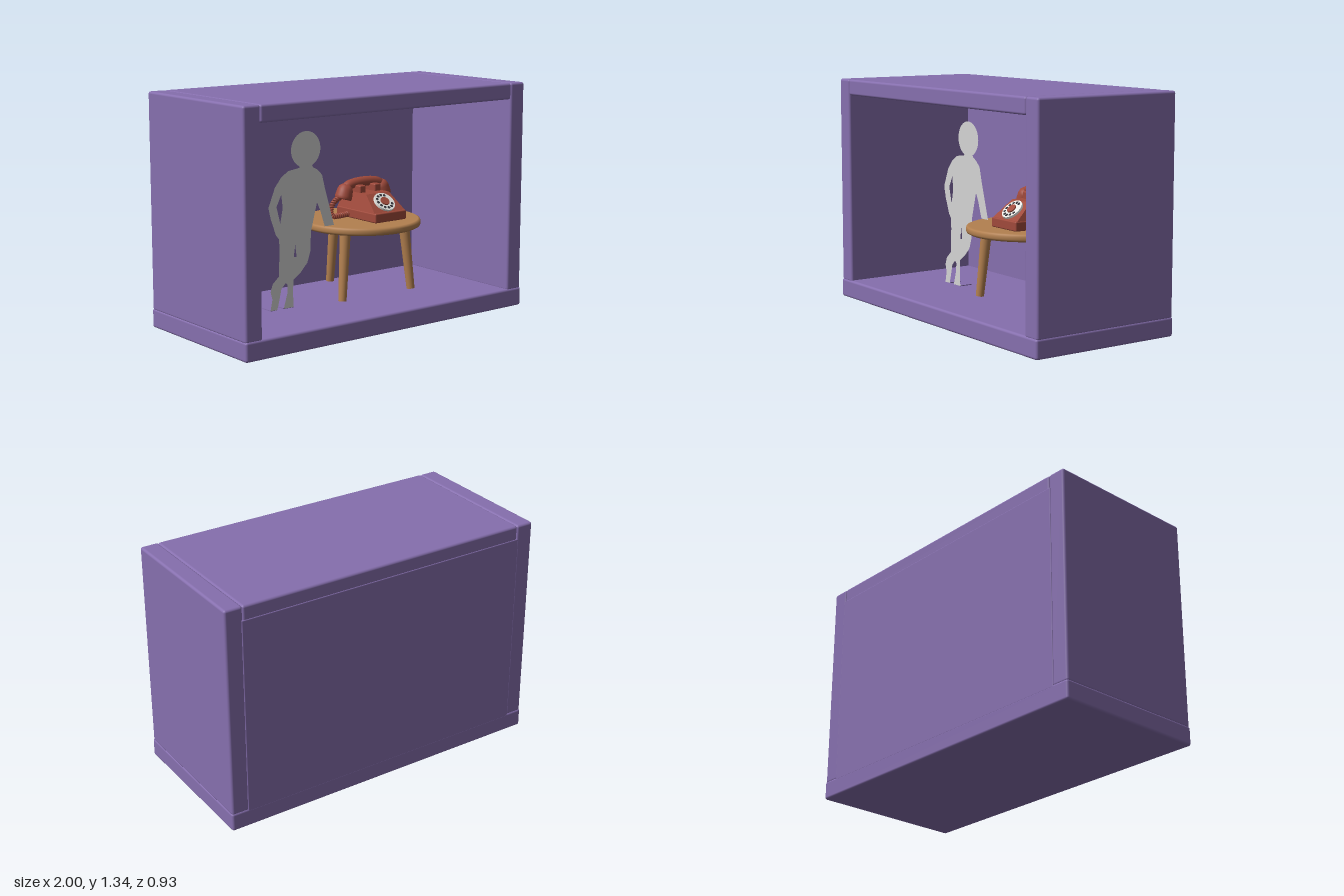
import * as THREE from 'three';
import { RoundedBoxGeometry } from 'three/addons/geometries/RoundedBoxGeometry.js';

const mat = (name, color, side = THREE.FrontSide) => {
  const m = new THREE.MeshStandardMaterial({ color, side });
  m.name = name;
  return m;
};

export function createModel() {
  const purple = mat('purple', 0x866fae);
  const grey = mat('paleGrey', 0xd4d4d4, THREE.DoubleSide);
  const wood = mat('wood', 0xb3804f);
  const red = mat('brickRed', 0xa04a3b);
  const white = mat('dialWhite', 0xe6e6e2);
  const dark = mat('dark', 0x35343a);

  const model = new THREE.Group();
  model.name = 'phoneDiorama';
  const add = (parent, name, geo, material, x = 0, y = 0, z = 0) => {
    const m = new THREE.Mesh(geo, material);
    m.name = name;
    m.position.set(x, y, z);
    parent.add(m);
    return m;
  };
  const group = (name) => {
    const g = new THREE.Group();
    g.name = name;
    model.add(g);
    return g;
  };
  // Rounded box given by its limits
  const block = (parent, name, material, [x0, x1], [y0, y1], [z0, z1], r = 0.014) =>
    add(parent, name, new RoundedBoxGeometry(x1 - x0, y1 - y0, z1 - z0, 3, r), material,
      (x0 + x1) / 2, (y0 + y1) / 2, (z0 + z1) / 2);

  // Open-fronted box of rounded boards
  const box = group('displayBox');
  block(box, 'floor', purple, [-1, 1], [0, 0.11], [-0.465, 0.465]);
  block(box, 'rightWall', purple, [-0.998, -0.89], [0.1, 1.34], [-0.462, 0.46]);
  block(box, 'leftWall', purple, [0.89, 0.998], [0.1, 1.34], [-0.462, 0.46]);
  block(box, 'roof', purple, [-0.892, 0.892], [1.245, 1.34], [-0.462, 0.46]);
  block(box, 'backWall', purple, [-0.9, 0.9], [0.095, 1.26], [-0.465, -0.405], 0.006);

  // Flat cut-out figure leaning on the table
  const figure = group('cutoutFigure');
  const vec = (pts) => pts.map(([x, y]) => new THREE.Vector2(x, y));
  const body = new THREE.Shape(vec([
    [-0.31, 0.92], [-0.315, 0.905], [-0.39, 0.895], [-0.44, 0.865], [-0.485, 0.81],
    [-0.53, 0.7], [-0.515, 0.635], [-0.48, 0.54], [-0.46, 0.515], [-0.455, 0.45],
    [-0.46, 0.37], [-0.46, 0.305], [-0.505, 0.265], [-0.52, 0.22], [-0.508, 0.175],
    [-0.522, 0.112], [-0.475, 0.112], [-0.46, 0.165], [-0.445, 0.23], [-0.415, 0.258],
    [-0.402, 0.245], [-0.405, 0.195], [-0.43, 0.112], [-0.36, 0.112], [-0.365, 0.2],
    [-0.36, 0.27], [-0.31, 0.305], [-0.262, 0.355], [-0.24, 0.42], [-0.236, 0.53],
    [-0.215, 0.61], [-0.192, 0.695], [-0.17, 0.65], [-0.137, 0.55], [-0.07, 0.55],
    [-0.108, 0.68], [-0.135, 0.77], [-0.155, 0.85], [-0.19, 0.885], [-0.22, 0.9],
    [-0.23, 0.92],
  ]));
  body.holes.push(
    new THREE.Path(vec([[-0.442, 0.765], [-0.475, 0.7], [-0.45, 0.605], [-0.432, 0.69]])),
    new THREE.Path(vec([[-0.347, 0.47], [-0.358, 0.4], [-0.338, 0.4]])));
  add(figure, 'body', new THREE.ShapeGeometry(body), grey, 0, 0, 0.015);
  add(figure, 'head', new THREE.CircleGeometry(0.103, 40), grey, -0.27, 1.006, 0.0155);
  // Small mounting tabs behind the feet
  add(figure, 'tab', new THREE.BoxGeometry(0.07, 0.006, 0.08), purple, -0.395, 0.112, -0.026);
  add(figure, 'tab', new THREE.BoxGeometry(0.045, 0.006, 0.08), purple, -0.498, 0.112, -0.026);

  // Round three-legged table
  const table = group('table');
  table.position.set(0.2, 0, -0.07);
  const topProfile = vec([[0, 0.505], [0.335, 0.505], [0.346, 0.511], [0.35, 0.52],
    [0.35, 0.535], [0.346, 0.545], [0.335, 0.55], [0, 0.55]]);
  add(table, 'tableTop', new THREE.LatheGeometry(topProfile, 64), wood);
  for (const a of [Math.PI / 3, -Math.PI / 3, Math.PI]) {
    const foot = new THREE.Vector3(Math.sin(a) * 0.3, 0.112, Math.cos(a) * 0.3);
    const hip = new THREE.Vector3(Math.sin(a) * 0.255, 0.51, Math.cos(a) * 0.255);
    const dir = hip.clone().sub(foot);
    const leg = add(table, 'tableLeg',
      new THREE.CylinderGeometry(0.032, 0.024, dir.length(), 24), wood);
    leg.position.copy(foot).add(hip).multiplyScalar(0.5);
    leg.quaternion.setFromUnitVectors(new THREE.Vector3(0, 1, 0), dir.normalize());
  }

  // Telephone
  const phone = group('telephone');
  phone.position.x = 0.255;
  block(phone, 'phoneBase', red, [-0.117, 0.117], [0.55, 0.606], [-0.225, 0.138], 0.008);
  // Sloped housing: side profile extruded across, then narrowed towards the top
  const side = new THREE.Shape(vec([[-0.22, 0.6], [0.132, 0.6], [0.015, 0.7], [-0.19, 0.7]]));
  const housing = new THREE.ExtrudeGeometry(side, { depth: 0.23, bevelEnabled: false });
  housing.translate(0, 0, -0.115).rotateY(-Math.PI / 2);
  const p = housing.attributes.position;
  for (let i = 0; i < p.count; i++) p.setX(i, p.getX(i) * (1 - (p.getY(i) - 0.6) * 2.5));
  housing.computeVertexNormals();
  add(phone, 'phoneHousing', housing, red);
  for (const s of [-1, 1])
    block(phone, 'cradle', red, [s * 0.056 - 0.023, s * 0.056 + 0.023], [0.69, 0.742], [-0.17, -0.05], 0.008);

  // Rotary dial, lying on the slope
  const dial = new THREE.Group();
  dial.name = 'dial';
  dial.position.set(0, 0.652, 0.073);
  dial.rotation.x = 0.706;
  phone.add(dial);
  add(dial, 'dialPlate', new THREE.CylinderGeometry(0.066, 0.067, 0.012, 40), white, 0, 0.005, 0);
  add(dial, 'dialCentre', new THREE.CylinderGeometry(0.028, 0.029, 0.008, 32), red, 0, 0.014, 0);
  for (let i = 0; i < 10; i++) {
    const a = (i / 12) * Math.PI * 2 + 0.5;
    add(dial, 'fingerHole', new THREE.CylinderGeometry(0.009, 0.009, 0.003, 14), dark,
      Math.cos(a) * 0.048, 0.011, Math.sin(a) * 0.048);
  }

  // Handset: arched grip with a cup at each end
  const hz = -0.12;
  const V = (x, y, z = hz) => new THREE.Vector3(x, y, z);
  const arc = new THREE.CatmullRomCurve3([V(-0.15, 0.705), V(-0.115, 0.737), V(-0.06, 0.75),
    V(0.06, 0.75), V(0.115, 0.737), V(0.15, 0.705)]);
  const grip = new THREE.TubeGeometry(arc, 40, 0.029, 18);
  add(phone, 'handsetGrip', grip, red);
  const cup = vec([[0, 0.05], [0.025, 0.048], [0.04, 0.035], [0.047, 0.015], [0.051, -0.02],
    [0.051, -0.035], [0.046, -0.04], [0, -0.04]].reverse());
  for (const s of [-1, 1]) {
    const c = add(phone, 'handsetCup', new THREE.LatheGeometry(cup, 32), red, s * 0.14, 0.7, hz);
    c.rotation.z = s * 0.3;
  }

  // Coiled cord from the handset down to the base
  const path = new THREE.CatmullRomCurve3([V(-0.175, 0.675), V(-0.215, 0.655), V(-0.243, 0.61),
    V(-0.235, 0.573), V(-0.19, 0.566), V(-0.11, 0.57)]);
  const n = 240;
  const turns = 18;
  const frames = path.computeFrenetFrames(n);
  const coil = [];
  for (let i = 0; i <= n; i++) {
    const a = (i / n) * turns * Math.PI * 2;
    coil.push(path.getPointAt(i / n)
      .addScaledVector(frames.normals[i], Math.cos(a) * 0.011)
      .addScaledVector(frames.binormals[i], Math.sin(a) * 0.011));
  }
  add(phone, 'cord', new THREE.TubeGeometry(new THREE.CatmullRomCurve3(coil), 400, 0.0065, 8), red);

  return model;
}
